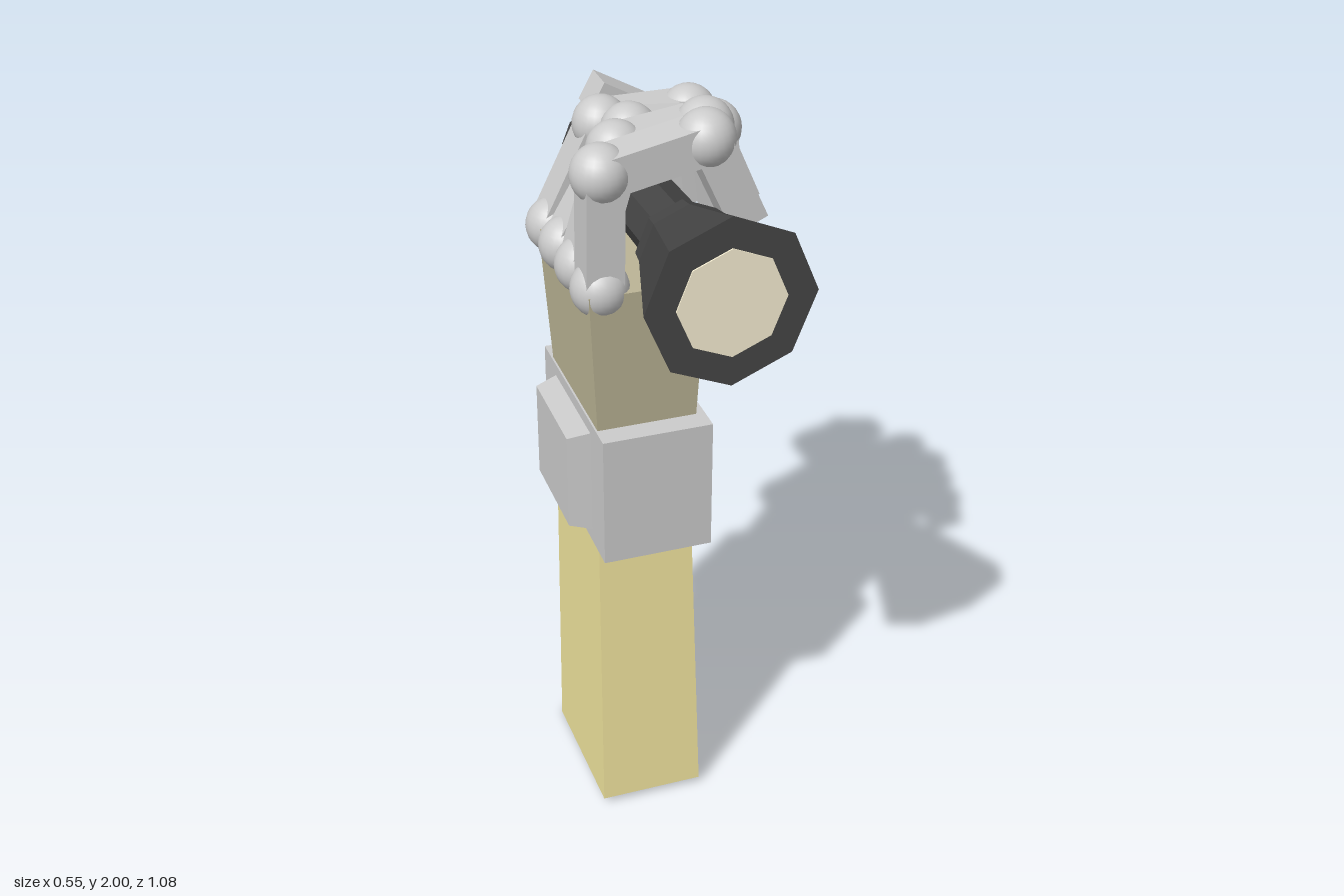
import * as THREE from 'three';

const material = (color) => new THREE.MeshStandardMaterial({ color, flatShading: true });
const grey = new THREE.MeshStandardMaterial({ color: 0xcccccc });
const greyFlat = material(0xcccccc);
const sleeve = material(0xeee29c);
const glove = material(0xbcb596);
const black = material(0x444444);
const lensColor = material(0xf4ecd0);

const v = (x, y, z) => new THREE.Vector3(x, y, z);

function add(parent, name, geometry, mat) {
  const mesh = new THREE.Mesh(geometry, mat);
  mesh.name = name;
  parent.add(mesh);
  return mesh;
}

// Box whose corners are placed by a rule taking signs (sx, sy, sz)
function cornerBox(rule) {
  const g = new THREE.BoxGeometry(2, 2, 2);
  const p = g.attributes.position;
  for (let i = 0; i < p.count; i++) p.setXYZ(i, ...rule(p.getX(i) > 0, p.getY(i) > 0, p.getZ(i) > 0));
  g.computeVertexNormals();
  return g;
}

// Upright block between a lower and an upper rectangle [x0, x1, z0, z1, yBack, yFront]
function taper(lo, hi) {
  return cornerBox((sx, sy, sz) => {
    const r = sy ? hi : lo;
    return [r[sx ? 1 : 0], r[sz ? 5 : 4], r[sz ? 3 : 2]];
  });
}

function joint(parent, name, center, radius) {
  add(parent, name, new THREE.SphereGeometry(radius, 24, 16), grey).position.copy(center);
}

// Straight box segment from a to b
function segment(parent, name, a, b, width, thickness) {
  const m = add(parent, name, new THREE.BoxGeometry(thickness, a.distanceTo(b), width), greyFlat);
  m.position.copy(a).lerp(b, 0.5);
  m.quaternion.setFromUnitVectors(v(0, 1, 0), b.clone().sub(a).normalize());
}

// Finger: knuckle, two further joints and the tip, as [x, y] pairs in one z plane
function finger(name, z, points, thickness) {
  const g = new THREE.Group();
  g.name = name;
  const p = points.map(([x, y]) => v(x, y, z));
  ['knuckle', 'middleJoint', 'endJoint'].forEach((n, i) => joint(g, n, p[i], 0.073));
  ['lowerSegment', 'middleSegment', 'tipSegment'].forEach((n, i) => segment(g, n, p[i], p[i + 1], 0.1, thickness));
  return g;
}

function createFlashlight() {
  const g = new THREE.Group();
  g.name = 'flashlight';
  // Eight-sided body: tail, grip, collar and flared head
  const profile = [[0, -0.535], [0.082, -0.535], [0.088, 0.15], [0.118, 0.2], [0.125, 0.25], [0.208, 0.532], [0, 0.532]];
  const body = new THREE.LatheGeometry(profile.map(([r, y]) => new THREE.Vector2(r, y)), 8);
  body.rotateX(Math.PI / 2);
  add(g, 'flashlightBody', body, black);
  const lens = new THREE.CylinderGeometry(0.133, 0.133, 0.01, 8);
  lens.rotateX(Math.PI / 2);
  add(g, 'lens', lens, lensColor).position.z = 0.531;
  const button = add(g, 'switchButton', new THREE.SphereGeometry(0.035, 12, 8), black);
  button.position.set(0.065, -0.055, 0);
  g.position.y = 1.68;
  g.rotation.x = -0.037;
  return g;
}

export function createModel() {
  const model = new THREE.Group();
  model.name = 'handWithFlashlight';

  // Arm and palm
  add(model, 'forearm', taper([-0.225, 0.055, -0.2, 0.22, 0, 0.02], [-0.21, 0.04, -0.215, 0.165, 0.95, 0.95]), sleeve);
  add(model, 'palm', taper([-0.21, 0.045, -0.21, 0.178, 1.15, 1.15], [-0.235, 0.062, -0.24, 0.204, 1.575, 1.585]), glove);

  // Wrist band with a bevelled panel on its outer side
  add(model, 'wristBand', taper([-0.218, 0.07, -0.278, 0.242, 0.842, 0.842], [-0.218, 0.07, -0.278, 0.242, 1.202, 1.202]), greyFlat);
  add(model, 'bandPanel', cornerBox((sx, sy, sz) => {
    const b = sx ? 0.016 : 0;
    return [sx ? -0.21 : -0.276, sy ? 1.155 + b : 0.892 - b, sz ? 0.12 + b : -0.16 - b];
  }), greyFlat);

  model.add(createFlashlight());

  // Fingers curled over the flashlight
  const fingers = [
    ['indexFinger', 0.145, [[-0.19, 1.58], [-0.185, 1.875], [0.075, 1.928], [0.175, 1.71]]],
    ['middleFinger', 0.012, [[-0.19, 1.58], [-0.105, 1.87], [0.12, 1.9], [0.205, 1.705]]],
    ['ringFinger', -0.13, [[-0.19, 1.57], [-0.025, 1.85], [0.195, 1.83], [0.225, 1.595]]],
    ['littleFinger', -0.27, [[-0.185, 1.56], [-0.055, 1.82], [0.18, 1.82], [0.2, 1.59]]],
  ];
  for (const [name, z, points] of fingers) model.add(finger(name, z, points, 0.095));

  // Thumb folded round the tail
  const thumb = new THREE.Group();
  thumb.name = 'thumb';
  const bend = v(0.125, 1.655, -0.44);
  joint(thumb, 'thumbBase', v(0.005, 1.335, -0.23), 0.135);
  joint(thumb, 'thumbJoint', bend, 0.074);
  segment(thumb, 'thumbLowerSegment', v(0.085, 1.37, -0.265), bend, 0.11, 0.1);
  segment(thumb, 'thumbTipSegment', v(0.18, 1.72, -0.46), v(-0.02, 1.83, -0.46), 0.1, 0.085);
  model.add(thumb);

  return model;
}
